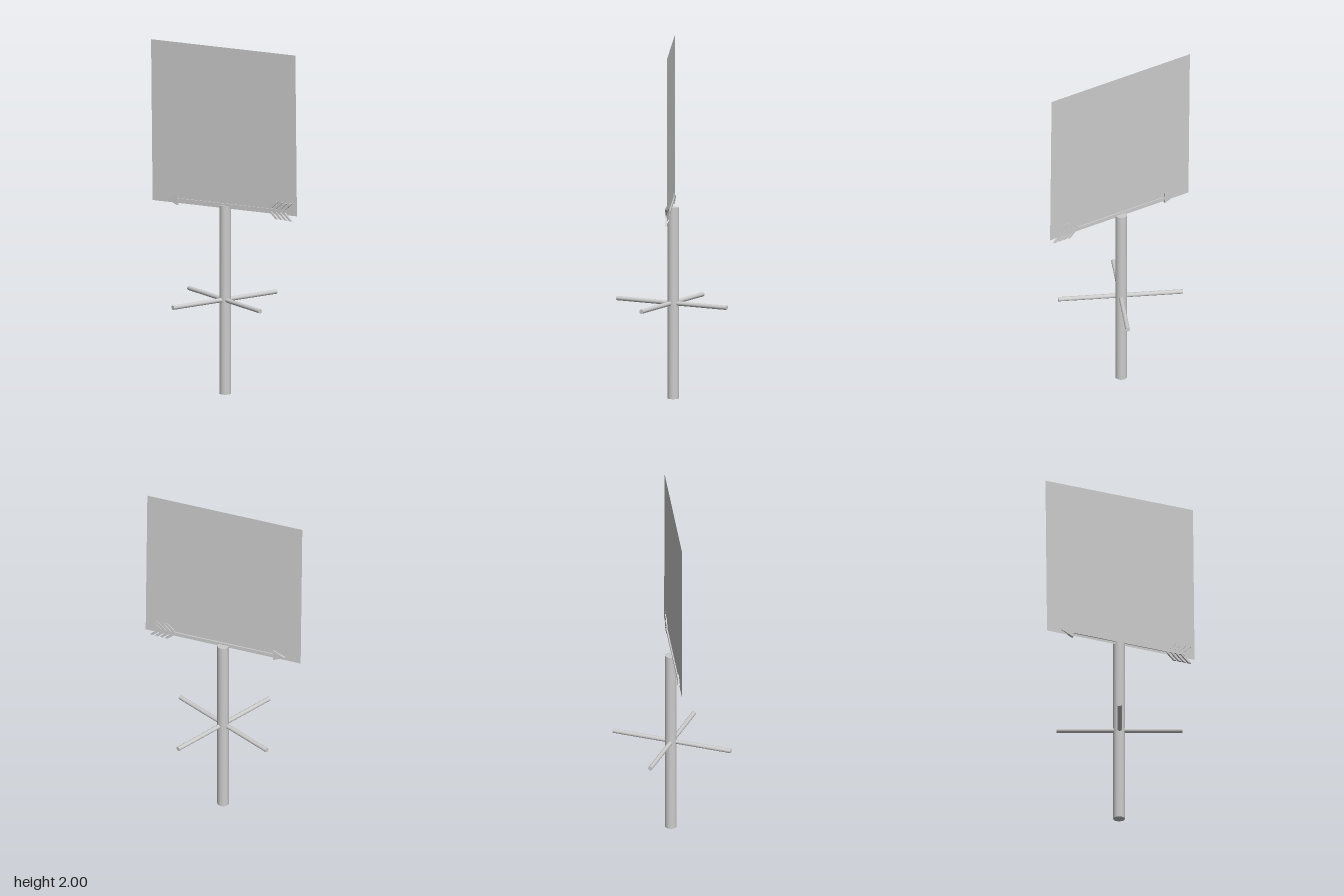
import * as THREE from 'three';

const grey = new THREE.MeshStandardMaterial({ color: 0xcccccc });
const greyThin = new THREE.MeshStandardMaterial({ color: 0xcccccc, side: THREE.DoubleSide });

function add(parent, name, geometry, [x, y, z], material = grey) {
  const mesh = new THREE.Mesh(geometry, material);
  mesh.name = name;
  mesh.position.set(x, y, z);
  parent.add(mesh);
  return mesh;
}

// Flat plate cut from an outline, centred on z = 0
function plate(points, depth) {
  const shape = new THREE.Shape(points.map(([x, y]) => new THREE.Vector2(x, y)));
  return new THREE.ExtrudeGeometry(shape, { depth, bevelEnabled: false }).translate(0, 0, -depth / 2);
}

export function createModel() {
  const model = new THREE.Group();
  model.name = 'weatherVane';

  // Upright post
  add(model, 'post', new THREE.CylinderGeometry(0.033, 0.033, 1.086, 32), [0, 0.543, -0.011]);

  // Two crossed direction rods
  for (let i = 0; i < 2; i++) {
    const rod = new THREE.CylinderGeometry(0.0125, 0.0125, 0.705, 24).rotateZ(Math.PI / 2);
    add(model, 'directionRod', rod, [0, 0.542, -0.004]).rotation.y = -0.415 + i * Math.PI / 2;
  }

  // Thin square sheet, slightly turned and tilted
  const sheet = add(model, 'sheet', new THREE.PlaneGeometry(0.925, 0.925), [0, 1.5325, 0.002], greyThin);
  sheet.rotation.set(0, 0.047, 0.0108);

  // Arrow along the lower edge of the sheet
  const arrow = new THREE.Group();
  arrow.name = 'arrow';
  model.add(arrow);

  const shaft = add(arrow, 'arrowShaft', new THREE.BoxGeometry(0.6, 0.014, 0.014), [-0.008, 1.091, 0.002]);
  shaft.rotation.set(0, 0.05, 0.0108);

  add(arrow, 'arrowHead', plate([[-0.072, 0], [0, -0.032], [0, 0.032]], 0.016), [-0.295, 1.087, 0.017]);

  add(arrow, 'tailShaft', new THREE.BoxGeometry(0.12, 0.014, 0.012), [0.34, 1.095, -0.012]);

  // Swept-back tail feathers
  const feather = plate([[0, 0], [0.054, 0.05], [0.07, 0.05], [0.016, 0], [0.07, -0.05], [0.054, -0.05]], 0.012);
  for (let i = 0; i < 4; i++) {
    add(arrow, 'tailFeather', feather, [0.28 + i * 0.03, 1.095, -0.012]);
  }

  return model;
}
